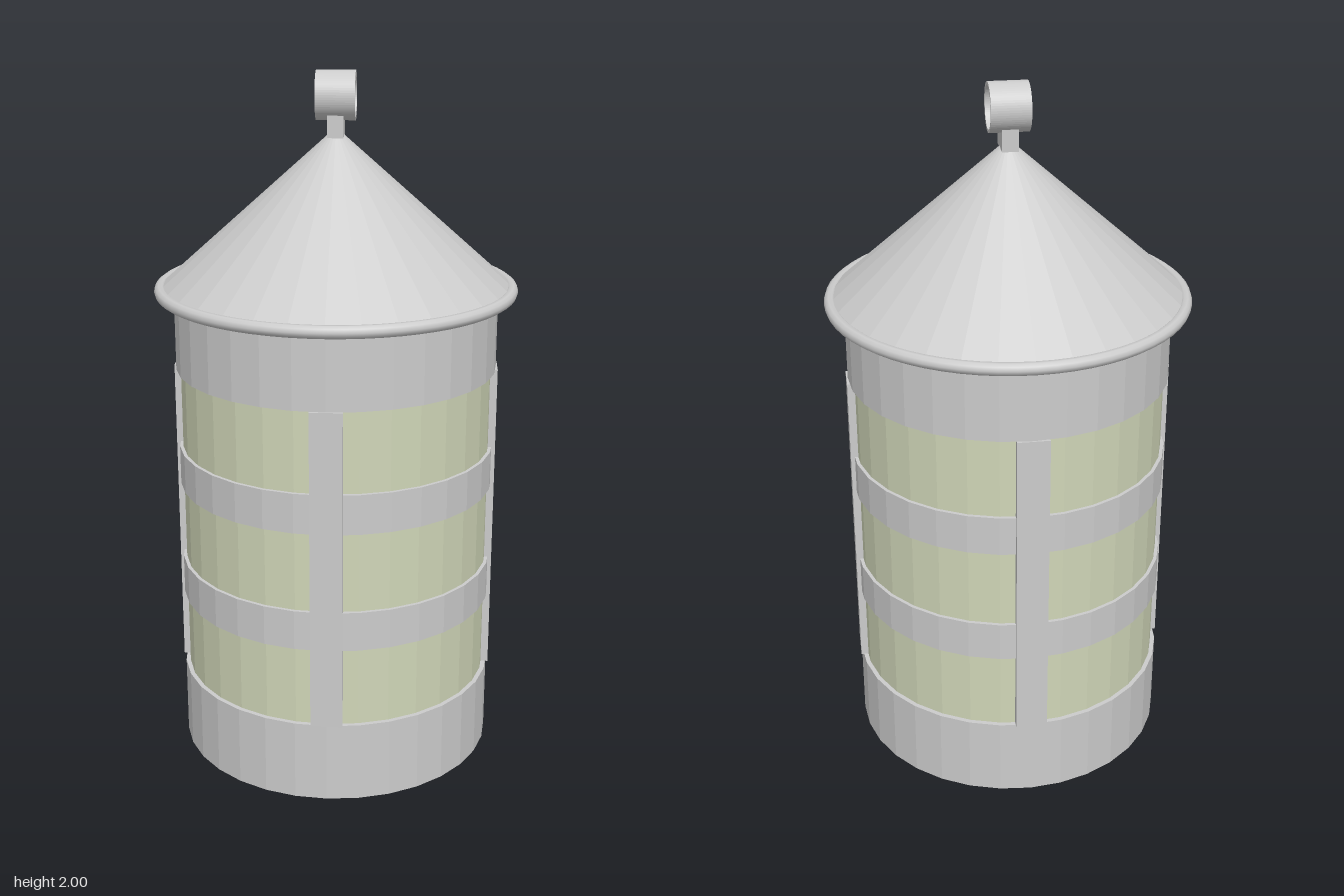
import * as THREE from 'three';

const SIDES = 32;
const grey = new THREE.MeshStandardMaterial({ color: 0xcccccc, flatShading: true });
const smoothGrey = new THREE.MeshStandardMaterial({ color: 0xcccccc });
const glass = new THREE.MeshStandardMaterial({ color: 0xd0d6b8, flatShading: true });

export function createModel() {
  const model = new THREE.Group();
  model.name = 'lantern';

  const add = (name, geometry, material = grey) => {
    const mesh = new THREE.Mesh(geometry, material);
    mesh.name = name;
    model.add(mesh);
    return mesh;
  };
  const drum = (name, radius, y0, y1, material) => {
    add(name, new THREE.CylinderGeometry(radius, radius, y1 - y0, SIDES), material).position.y = (y0 + y1) / 2;
  };

  // Body: solid base and collar, glass cylinder, two hoops
  drum('base', 0.463, 0, 0.235);
  drum('glassPane', 0.45, 0.235, 1.165, glass);
  drum('lowerHoop', 0.46, 0.468, 0.583);
  drum('upperHoop', 0.46, 0.815, 0.93);
  drum('topCollar', 0.463, 1.165, 1.39);

  // Four upright bars over the glass
  for (let i = 0; i < 4; i++) {
    const bar = add('uprightBar', new THREE.BoxGeometry(0.09, 0.93, 0.04));
    const angle = i * Math.PI / 2;
    bar.position.set(Math.sin(angle) * 0.447, 0.7, Math.cos(angle) * 0.447);
    bar.rotation.y = angle;
  }

  // Conical roof with a rounded rim
  add('roof', new THREE.ConeGeometry(0.5, 0.445, SIDES)).position.y = 1.6225;
  const rim = add('roofRim', new THREE.TorusGeometry(0.5, 0.018, 10, 64), smoothGrey);
  rim.rotation.x = Math.PI / 2;
  rim.position.y = 1.393;

  // Hanging ring: a short tube lying along x
  const ringY = 1.932, ringR = 0.068;
  const tube = new THREE.Shape().absarc(0, 0, ringR, 0, Math.PI * 2);
  tube.holes.push(new THREE.Path().absarc(0, 0, 0.059, 0, Math.PI * 2, true));
  const across = (shape, width) => new THREE.ExtrudeGeometry(shape, { depth: width, bevelEnabled: false, curveSegments: 32 })
    .translate(0, 0, -width / 2).rotateY(Math.PI / 2);
  add('hangingRing', across(tube, 0.11), smoothGrey).position.y = ringY;

  // Post saddled under the ring
  const half = 0.045, a = Math.acos(half / 0.065);
  const post = new THREE.Shape();
  post.moveTo(-half, 1.82 - ringY);
  post.lineTo(half, 1.82 - ringY);
  post.absarc(0, 0, 0.065, -a, -Math.PI + a, true);
  post.closePath();
  add('ringPost', across(post, 0.045)).position.y = ringY;

  return model;
}
